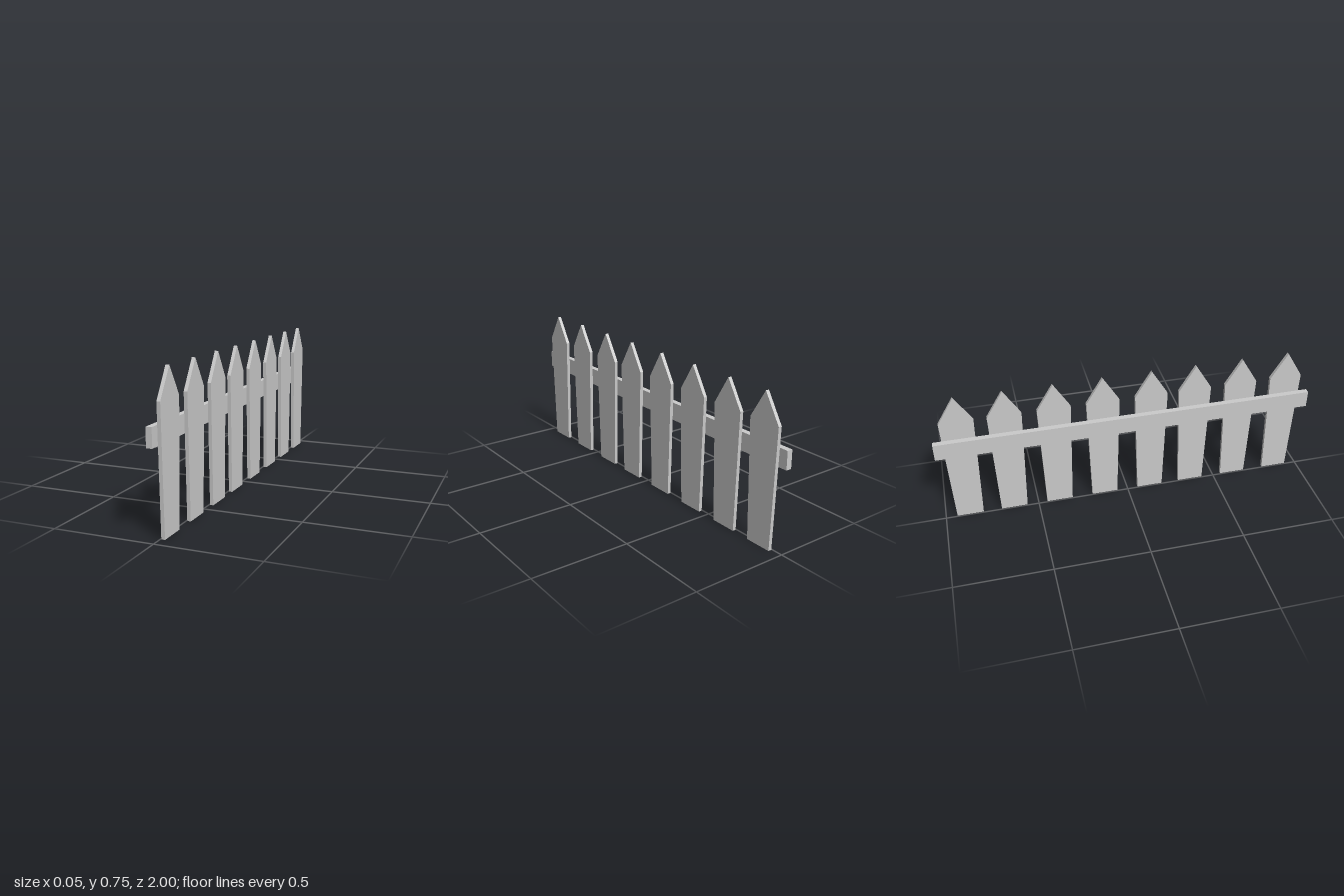
import * as THREE from 'three';

export function createModel() {
  const fence = new THREE.Group();
  fence.name = 'picketFence';
  const material = new THREE.MeshStandardMaterial({ color: 0xcccccc, flatShading: true });

  // Picket: tapers towards the ground, with a pointed top
  const outline = new THREE.Shape([
    [-0.07, 0], [0.07, 0], [0.087, 0.608], [0, 0.75], [-0.087, 0.608],
  ].map(([x, y]) => new THREE.Vector2(x, y)));
  const picketGeometry = new THREE.ExtrudeGeometry(outline, { depth: 0.018, bevelEnabled: false });
  picketGeometry.rotateY(Math.PI / 2);

  // Slightly uneven spacing along the fence
  const positions = [0.868, 0.615, 0.363, 0.127, -0.129, -0.382, -0.632, -0.87];
  positions.forEach((z, i) => {
    const picket = new THREE.Mesh(picketGeometry, material);
    picket.name = `picket${i + 1}`;
    picket.position.set(0.005, 0, z);
    fence.add(picket);
  });

  // Single rail behind the pickets
  const rail = new THREE.Mesh(new THREE.BoxGeometry(0.029, 0.092, 2), material);
  rail.name = 'rail';
  rail.position.set(-0.0095, 0.462, 0);
  fence.add(rail);

  return fence;
}
